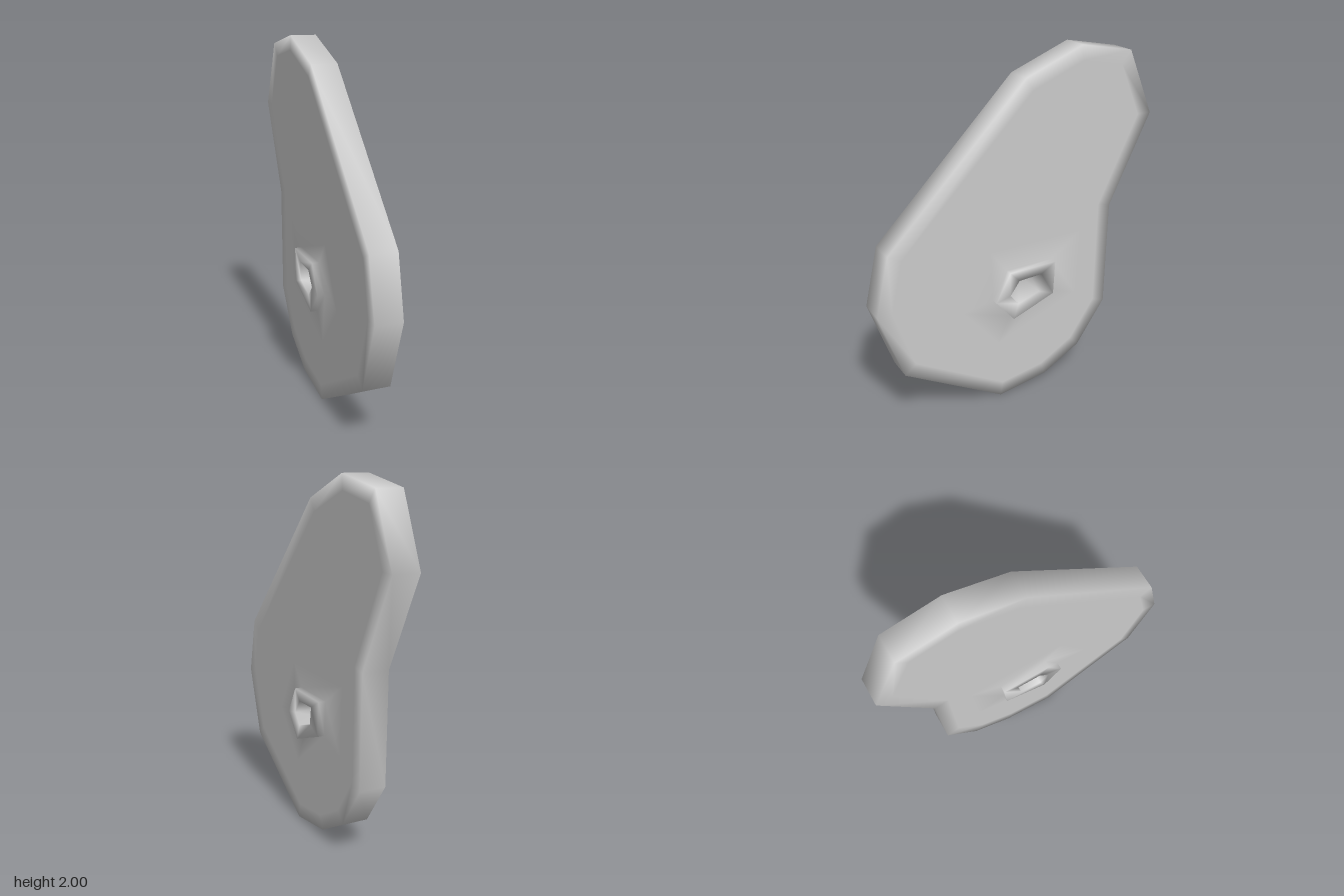
import * as THREE from 'three';
import { mergeVertices } from 'three/addons/utils/BufferGeometryUtils.js';

const MEAT_X = 0.075; // half thickness of the slab
const BONE_X = 0.116; // half thickness of the bone ring

// Loops in the (-z, y) plane, counter-clockwise seen from +x
const loop = (pts) => pts.map(([u, v]) => new THREE.Vector2(u, v));
const outline = loop([
  [0.374, 2], [0.03, 1.867], [-0.778, 1.064], [-0.856, 0.735], [-0.722, 0.34], [-0.133, 0],
  [0.173, 0.048], [0.406, 0.178], [0.587, 0.435], [0.597, 1.056], [0.852, 1.57], [0.692, 1.94],
]);
const boneOuter = loop([[-0.088, 0.808], [-0.178, 0.647], [-0.066, 0.515], [0.194, 0.61], [0.205, 0.808]]);
const boneHole = loop([[-0.03, 0.748], [-0.088, 0.668], [-0.035, 0.605], [0.098, 0.647], [0.114, 0.753]]);

// Shrinks a loop by a constant distance
function inset(pts, d) {
  const n = pts.length;
  const inward = (a, b) => new THREE.Vector2(a.y - b.y, b.x - a.x).normalize();
  return pts.map((p, i) => {
    const n1 = inward(pts[(i + n - 1) % n], p);
    const n2 = inward(p, pts[(i + 1) % n]);
    const k = d / (1 + n1.dot(n2));
    return p.clone().addScaledVector(n1.add(n2), k);
  });
}

// Grows a loop about a centre
function grow(pts, s) {
  const c = new THREE.Vector2(0.013, 0.677);
  return pts.map((p) => p.clone().sub(c).multiplyScalar(s).add(c));
}

function createSteakGeometry() {
  const pos = [];
  const tri = (...corners) => corners.forEach(([p, x]) => pos.push(x, p.y, -p.x));
  const quad = (a, b, c, d) => { tri(a, b, c); tri(a, c, d); };

  // Band between two matching loops, each at its own x
  const band = (la, xa, lb, xb) => la.forEach((p, i) => {
    const j = (i + 1) % la.length;
    quad([p, xa], [la[j], xa], [lb[j], xb], [lb[i], xb]);
  });
  // The same band on both sides of the slab
  const bothSides = (la, xa, lb, xb) => {
    band(la, xa, lb, xb);
    band(lb, -xb, la, -xa);
  };

  const rim = inset(outline, 0.08);
  const aroundBone = grow(boneOuter, 2);

  // Outer edge of the meat and its border strip
  band(outline, -MEAT_X, outline, MEAT_X);
  bothSides(outline, MEAT_X, rim, MEAT_X);

  // Flat meat faces
  const hole = [...aroundBone].reverse();
  const all = [...rim, ...hole];
  for (const [a, b, c] of THREE.ShapeUtils.triangulateShape(rim, [hole])) {
    tri([all[a], MEAT_X], [all[b], MEAT_X], [all[c], MEAT_X]);
    tri([all[c], -MEAT_X], [all[b], -MEAT_X], [all[a], -MEAT_X]);
  }
  bothSides(aroundBone, MEAT_X, boneOuter, MEAT_X);

  // Raised bone ring and the hole through it
  bothSides(boneOuter, MEAT_X, boneOuter, BONE_X);
  bothSides(boneOuter, BONE_X, boneHole, BONE_X);
  band(boneHole, BONE_X, boneHole, -BONE_X);

  // Shared vertices give smooth normals across the whole surface
  const geo = new THREE.BufferGeometry();
  geo.setAttribute('position', new THREE.Float32BufferAttribute(pos, 3));
  const smooth = mergeVertices(geo, 1e-4);
  smooth.computeVertexNormals();
  return smooth;
}

export function createModel() {
  const group = new THREE.Group();
  group.name = 'steak';
  const mesh = new THREE.Mesh(createSteakGeometry(), new THREE.MeshStandardMaterial({ color: 0xcccccc }));
  mesh.name = 'meatWithBone';
  group.add(mesh);
  return group;
}
